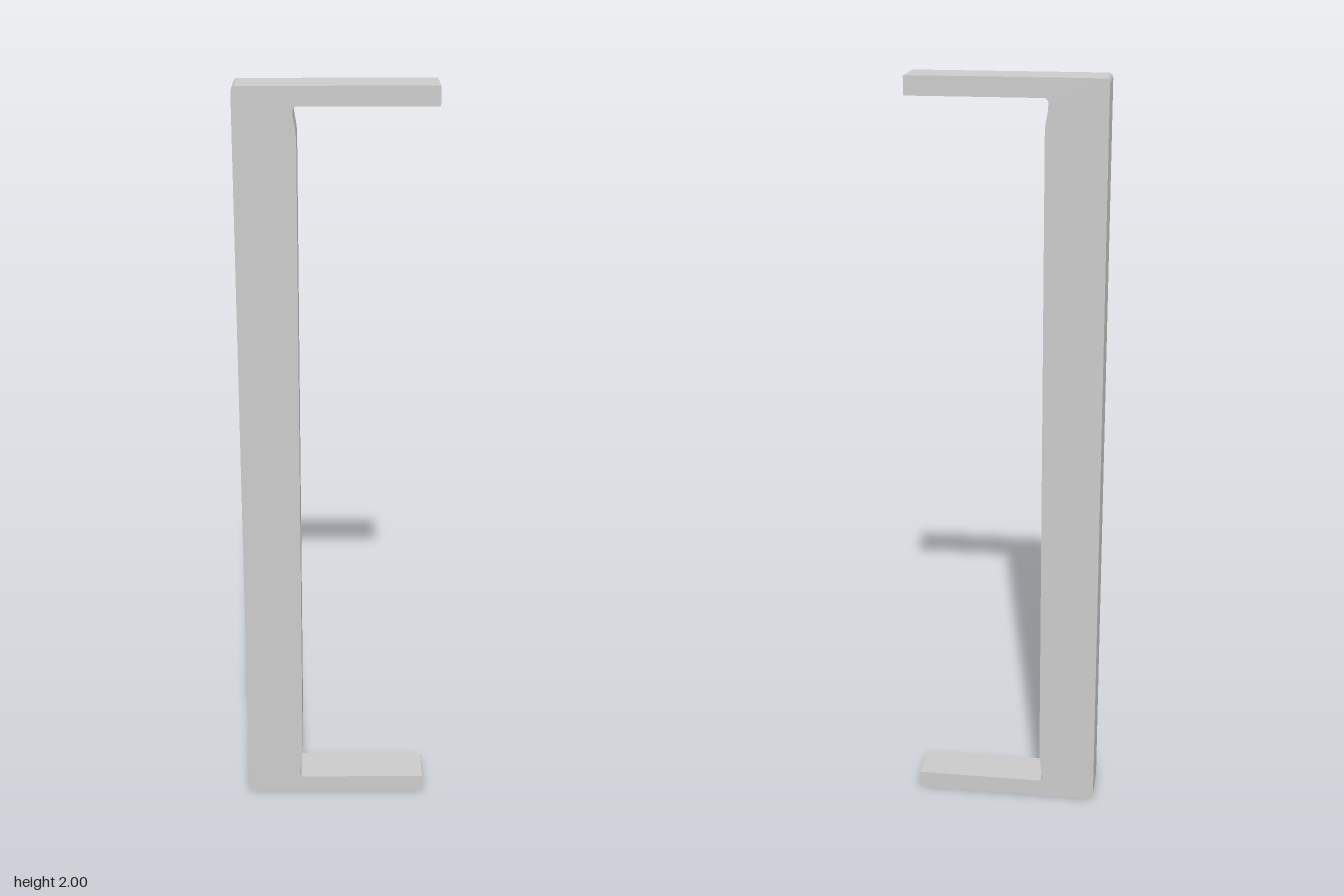
import * as THREE from 'three';
import { toCreasedNormals } from 'three/addons/utils/BufferGeometryUtils.js';

export function createModel() {
  const group = new THREE.Group();
  group.name = 'pullHandle';

  const X = 0.249, H = 2, depth = 0.116;
  const arm = 0.048;               // arm thickness
  const gripX = -0.095;            // inner face of the grip
  const neckX = -0.103;            // inner face where it meets the arms
  const r = 0.014, tip = 0.003;    // outer corner and arm tip rounding

  // C-shaped side profile, counter-clockwise from the lower outer corner
  const s = new THREE.Shape();
  s.moveTo(-X + r, 0);
  s.lineTo(X - tip, 0);
  s.quadraticCurveTo(X, 0, X, tip);
  s.lineTo(X, arm - tip);
  s.quadraticCurveTo(X, arm, X - tip, arm);
  // lower inner corner with a slight hollow
  s.lineTo(neckX + 0.012, arm);
  s.quadraticCurveTo(neckX, arm, neckX, arm + 0.014);
  s.bezierCurveTo(neckX, arm + 0.04, gripX, arm + 0.05, gripX, arm + 0.09);
  // upper inner corner
  s.lineTo(gripX, H - arm - 0.09);
  s.bezierCurveTo(gripX, H - arm - 0.05, neckX, H - arm - 0.04, neckX, H - arm - 0.014);
  s.quadraticCurveTo(neckX, H - arm, neckX + 0.012, H - arm);
  s.lineTo(X - tip, H - arm);
  s.quadraticCurveTo(X, H - arm, X, H - arm + tip);
  s.lineTo(X, H - tip);
  s.quadraticCurveTo(X, H, X - tip, H);
  // rounded outer corners
  s.lineTo(-X + r, H);
  s.quadraticCurveTo(-X, H, -X, H - r);
  s.lineTo(-X, r);
  s.quadraticCurveTo(-X, 0, -X + r, 0);

  const geometry = new THREE.ExtrudeGeometry(s, { depth, bevelEnabled: false, curveSegments: 6 });
  geometry.translate(0, 0, -depth / 2);

  const handle = new THREE.Mesh(
    toCreasedNormals(geometry, 0.6),
    new THREE.MeshStandardMaterial({ color: 0xcccccc })
  );
  handle.name = 'handleBar';
  group.add(handle);
  return group;
}
